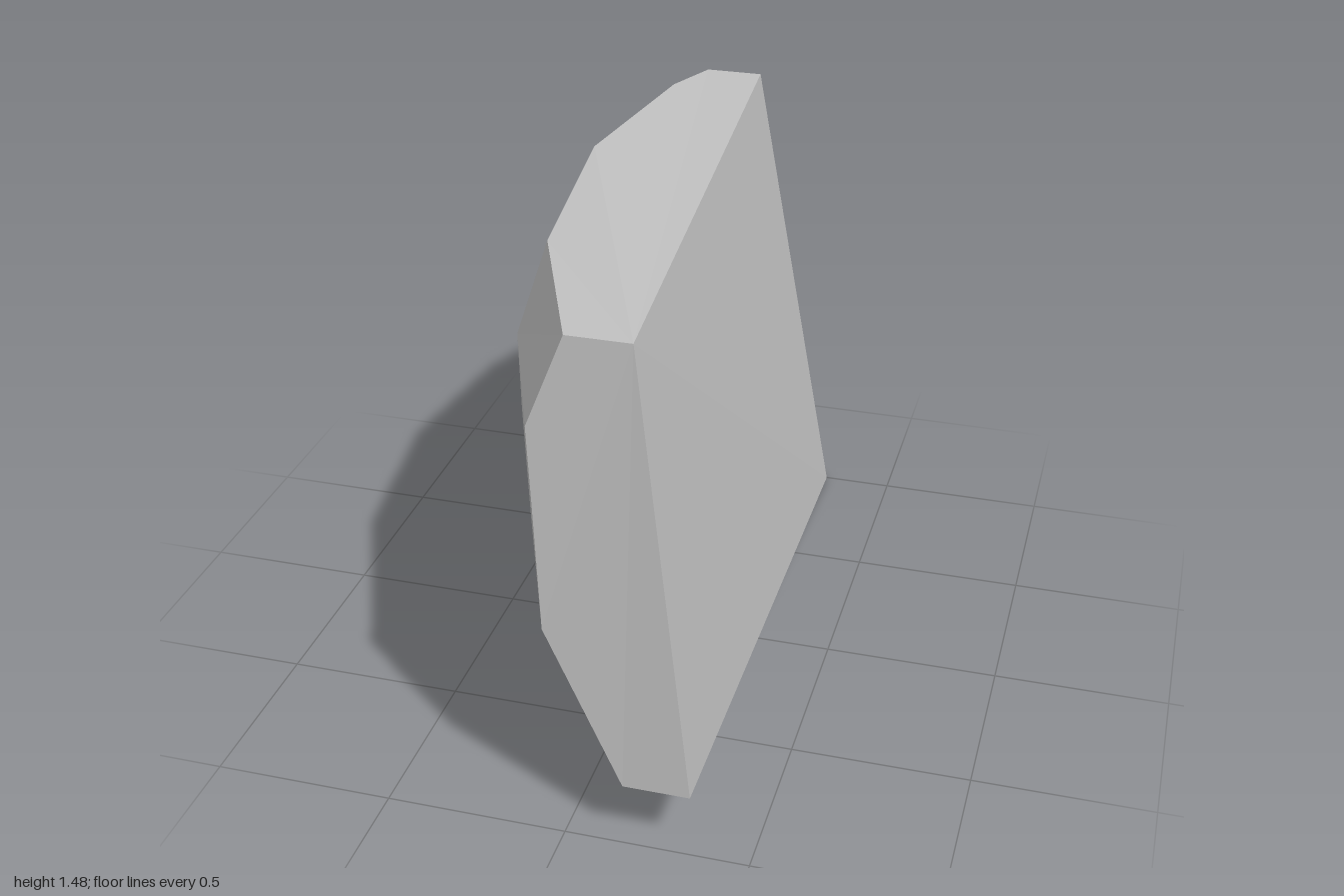
import * as THREE from 'three';

const stone = new THREE.MeshStandardMaterial({ color: 0xc0c0c0 });
stone.name = 'lightGrey';

// Outer bulged surface: rows run bottom to top, each from back to front
const grid = [
  [[0.134, 0, -1], [-0.03, 0.01, -0.66], [-0.08, 0, -0.1], [-0.08, 0.185, 0.45], [0.16, 0.185, 1]],
  [[-0.135, 0.64, -1], [-0.245, 0.64, -0.67], [-0.335, 0.65, -0.1], [-0.25, 0.64, 0.49], [-0.045, 0.635, 1]],
  [[-0.145, 0.96, -1], [-0.265, 0.97, -0.71], [-0.342, 0.95, -0.09], [-0.26, 0.97, 0.5], [-0.06, 1, 1]],
  [[-0.22, 1.2, -0.85], [-0.27, 1.19, -0.73], [-0.345, 1.19, -0.09], [-0.265, 1.19, 0.5], [-0.075, 1.2, 0.985]],
  [[-0.105, 1.48, -0.84], [-0.17, 1.48, -0.68], [-0.245, 1.48, -0.12], [-0.185, 1.45, 0.47], [0.02, 1.445, 0.966]],
];

// Corners of the flat face, and the two bent rim points
const frontTop = [0.19, 1.445, 0.966];
const backTop = [0.06, 1.48, -0.84];
const backBottom = [0.29, 0, -1];
const frontBottom = [0.34, 0.185, 1];
const backRim = [0, 0.97, -1];
const bottomRim = [0.07, 0, -0.1];

// Triangles spreading from one point along a list of points
function fan(centre, points) {
  const out = [];
  for (let i = 0; i + 1 < points.length; i++) out.push(centre, points[i], points[i + 1]);
  return out;
}

function addPart(group, name, triangles) {
  const geometry = new THREE.BufferGeometry();
  geometry.setAttribute('position', new THREE.Float32BufferAttribute(triangles.flat(), 3));
  geometry.computeVertexNormals();
  const mesh = new THREE.Mesh(geometry, stone);
  mesh.name = name;
  group.add(mesh);
}

export function createModel() {
  const group = new THREE.Group();
  group.name = 'curvedShard';

  // Bulged shell
  const shell = [];
  for (let r = 0; r < 4; r++) {
    for (let c = 0; c < 4; c++) {
      shell.push(...fan(grid[r][c], [grid[r][c + 1], grid[r + 1][c + 1], grid[r + 1][c]]));
    }
  }
  addPart(group, 'bulgedShell', shell);

  // Flat side and the four rims joining it to the shell
  const backEdge = grid.map((row) => row[0]);
  const frontEdge = grid.map((row) => row[4]).reverse();
  const bottomEdge = [...grid[0]].reverse();
  addPart(group, 'flatSide', fan(frontTop, [frontBottom, backBottom, backTop]));
  addPart(group, 'backRim', fan(backRim, [backBottom, ...backEdge, backTop, backBottom]));
  addPart(group, 'bottomRim', fan(bottomRim, [frontBottom, ...bottomEdge, backBottom, frontBottom]));
  addPart(group, 'frontRim', fan(frontTop, [...frontEdge, frontBottom]));
  addPart(group, 'topRim', fan(frontTop, [backTop, ...grid[4]]));
  return group;
}
